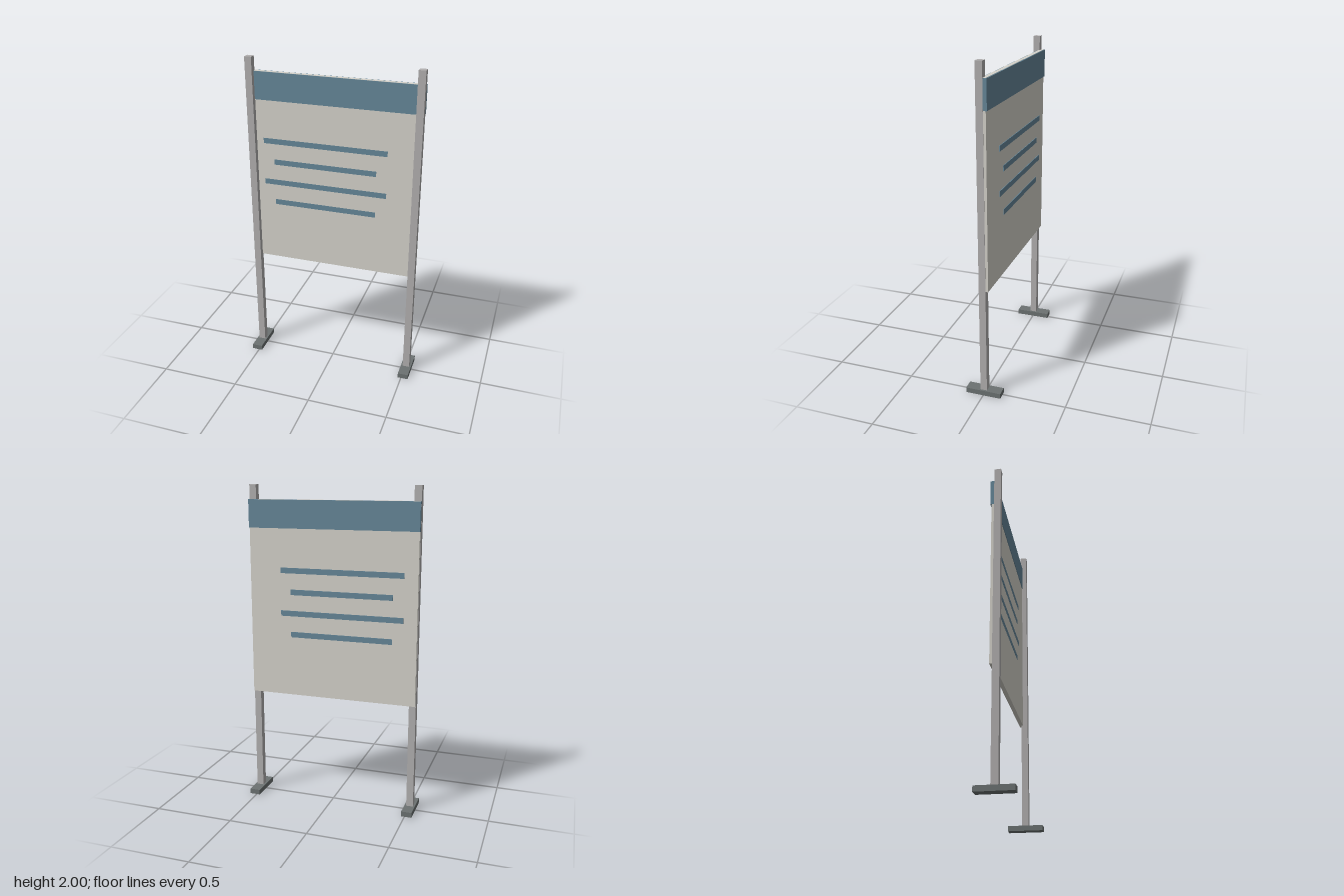
import * as THREE from 'three';

const material = (color) => new THREE.MeshStandardMaterial({ color });
const steel = material(0xb2b0b0);
const rubber = material(0x6c7272);
const board = material(0xd5d3cb);
const blue = material(0x668799);

// Box given by its extents along each axis
function box(name, mat, [x0, x1], [y0, y1], [z0, z1]) {
  const mesh = new THREE.Mesh(new THREE.BoxGeometry(x1 - x0, y1 - y0, z1 - z0), mat);
  mesh.position.set((x0 + x1) / 2, (y0 + y1) / 2, (z0 + z1) / 2);
  mesh.name = name;
  return mesh;
}

export function createModel() {
  const model = new THREE.Group();
  model.name = 'signBoard';

  // Square posts standing on flat feet
  for (const [side, s] of [['left', 1], ['right', -1]]) {
    const x = s * 0.512;
    model.add(box(`${side}Post`, steel, [x - 0.0215, x + 0.0215], [0.001, 2], [-0.0205, 0.0205]));
    model.add(box(`${side}Foot`, rubber, [x - 0.033, x + 0.033], [0, 0.032], [-0.109, 0.109]));
  }

  // Panel on the back of the posts, with a header band wrapped around its top
  model.add(box('panel', board, [-0.531, 0.531], [0.695, 1.913], [-0.036, -0.011]));
  model.add(box('headerBand', blue, [-0.533, 0.533], [1.742, 1.912], [-0.043, -0.007]));

  // Strips running through the panel, long and short in turn
  for (let i = 0; i < 4; i++) {
    const y = 1.487 - i * 0.1333;
    const span = i % 2 ? [-0.381, 0.265] : [-0.447, 0.33];
    model.add(box(`strip${i + 1}`, blue, span, [y - 0.017, y + 0.017], [-0.04, -0.0105]));
  }
  return model;
}
